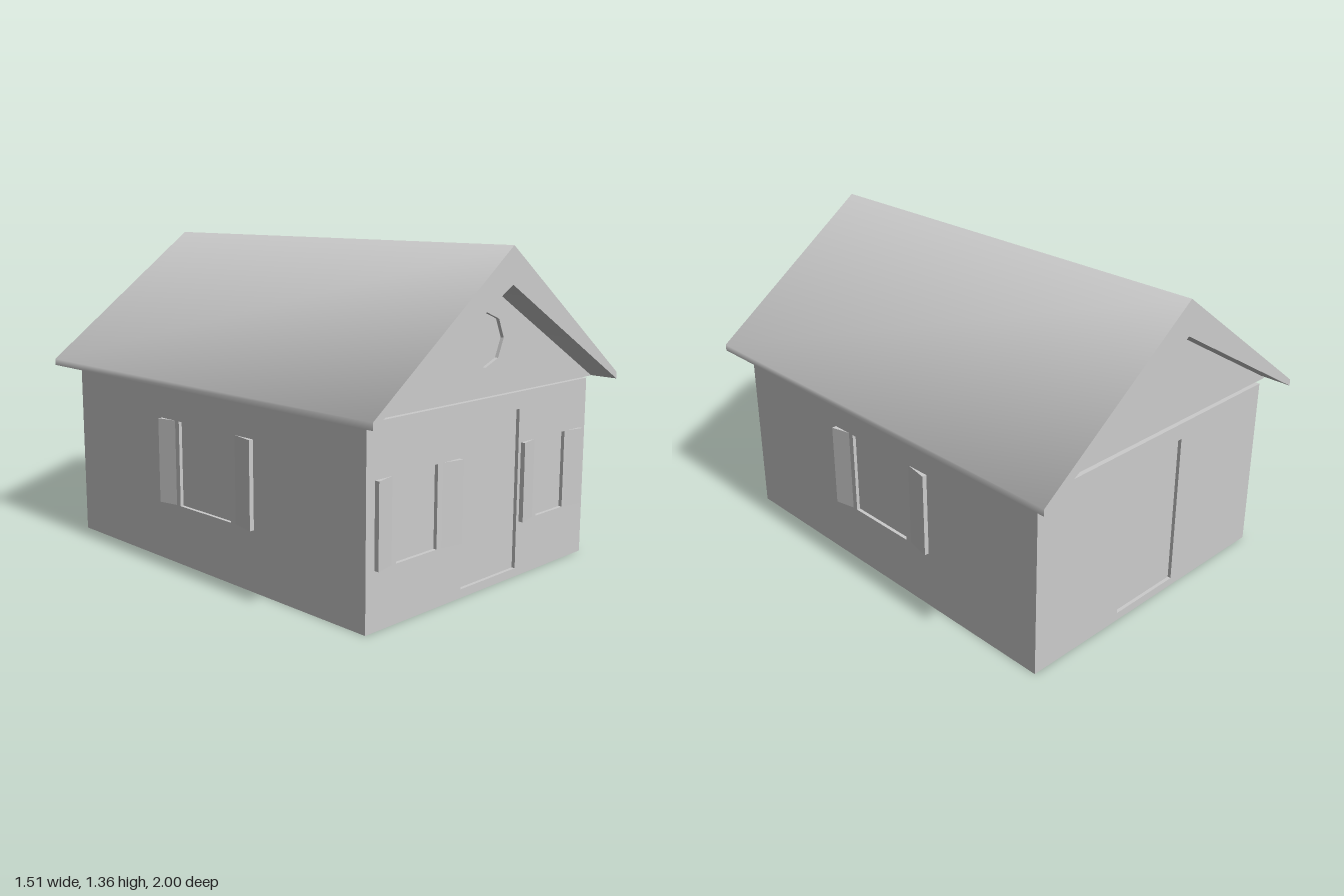
import * as THREE from 'three';
import { toCreasedNormals } from 'three/addons/utils/BufferGeometryUtils.js';

const T = 0.015;                          // wall thickness = depth of recesses
const W = 0.68, D = 0.9;                  // half width and half depth of the walls
const BASE = 0.035, EAVE = 0.77;
const material = new THREE.MeshStandardMaterial({ color: 0xcccccc });

function mesh(name, geometry) {
  const m = new THREE.Mesh(geometry, material);
  m.name = name;
  return m;
}

function box(name, w, h, d, x, y, z) {
  const m = mesh(name, new THREE.BoxGeometry(w, h, d));
  m.position.set(x, y, z);
  return m;
}

const shapeOf = (pts) => new THREE.Shape(pts.map(([x, y]) => new THREE.Vector2(x, y)));
const extrude = (shape, depth) => new THREE.ExtrudeGeometry(shape, { depth, bevelEnabled: false });

// Open shutter: flush at the hinge side, standing proud at its outer edge
function shutter(outer, inner, y0, y1) {
  const s = Math.sign(inner - outer);
  const pts = [[outer, 0], [inner, 0], [outer, -0.02]];
  const g = extrude(shapeOf(s > 0 ? pts : pts.reverse()), y1 - y0);
  g.rotateX(-Math.PI / 2);                // extrusion up, profile -y to +z
  g.translate(0, y0, 0);
  return mesh('shutter', g);
}

// Wall panel facing +z, with a door notch, window holes and shutters
function wall(name, half, distance, angle, { door, windows = [] }) {
  const g = new THREE.Group();
  g.name = name;
  const pts = [[-half, BASE]];
  if (door) pts.push([door[0], BASE], [door[0], 0.7], [door[1], 0.7], [door[1], BASE]);
  pts.push([half, BASE], [half, EAVE], [-half, EAVE]);
  const shape = shapeOf(pts);
  for (const { x: [x0, x1], y: [y0, y1], shutters } of windows) {
    shape.holes.push(shapeOf([[x0, y0], [x0, y1], [x1, y1], [x1, y0]]));
    for (const [outer, inner] of shutters) g.add(shutter(outer, inner, y0, y1));
  }
  const panel = mesh(name + 'Panel', extrude(shape, T));
  panel.position.z = -T;
  g.add(panel);
  g.rotation.y = angle;
  g.position.set(Math.sin(angle) * distance, 0, Math.cos(angle) * distance);
  return g;
}

export function createModel() {
  const house = new THREE.Group();
  house.name = 'house';

  // Base slab and inner core, whose faces form the door and window panes
  house.add(box('baseSlab', 2 * W, BASE, 2 * D, 0, BASE / 2, 0));
  house.add(box('core', 2 * (W - T), EAVE - BASE, 2 * (D - T), 0, (EAVE + BASE) / 2, 0));

  // Four walls
  house.add(wall('frontWall', W, D, 0, {
    door: [-0.145, 0.205],
    windows: [
      { x: [-0.52, -0.295], y: [0.23, 0.56], shutters: [[-0.635, -0.545], [-0.17, -0.265]] },
      { x: [0.34, 0.53], y: [0.23, 0.56], shutters: [[0.222, 0.315], [0.637, 0.55]] },
    ],
  }));
  house.add(wall('backWall', W, D, Math.PI, { door: [-0.205, 0.145] }));
  const sideWindow = { x: [-0.17, 0.16], y: [0.255, 0.617], shutters: [[-0.285, -0.195], [0.3, 0.19]] };
  for (const [name, s] of [['leftWall', 1], ['rightWall', -1]]) {
    house.add(wall(name, D - T, W, s * Math.PI / 2, { windows: [sideWindow] }));
  }

  // Gable block under the roof, slightly set back from the walls
  const triangle = () => shapeOf([[-0.75, EAVE], [0.75, EAVE], [0, 1.21]]);
  const zGable = D - 0.02;
  const gable = mesh('gableBlock', extrude(triangle(), 2 * zGable - T));
  gable.position.z = -zGable;
  house.add(gable);

  // Front gable face with an eight-sided vent recess
  const face = triangle();
  const vent = [];
  for (let i = 0; i < 8; i++) {
    const a = -i * Math.PI / 4;
    vent.push(new THREE.Vector2(0.113 * Math.cos(a), 0.992 + 0.108 * Math.sin(a)));
  }
  face.holes.push(new THREE.Path(vent));
  const front = mesh('gableFace', extrude(face, T));
  front.position.z = zGable - T;
  house.add(front);

  // Roof shell, shaded softly over the ridge
  const roofShape = shapeOf([
    [-0.755, EAVE], [0, 1.211], [0.755, EAVE], [0.755, 0.798], [0, 1.357], [-0.755, 0.798],
  ]);
  const roofGeometry = extrude(roofShape, 2).translate(0, 0, -1);
  house.add(mesh('roof', toCreasedNormals(roofGeometry, THREE.MathUtils.degToRad(76))));

  return house;
}
